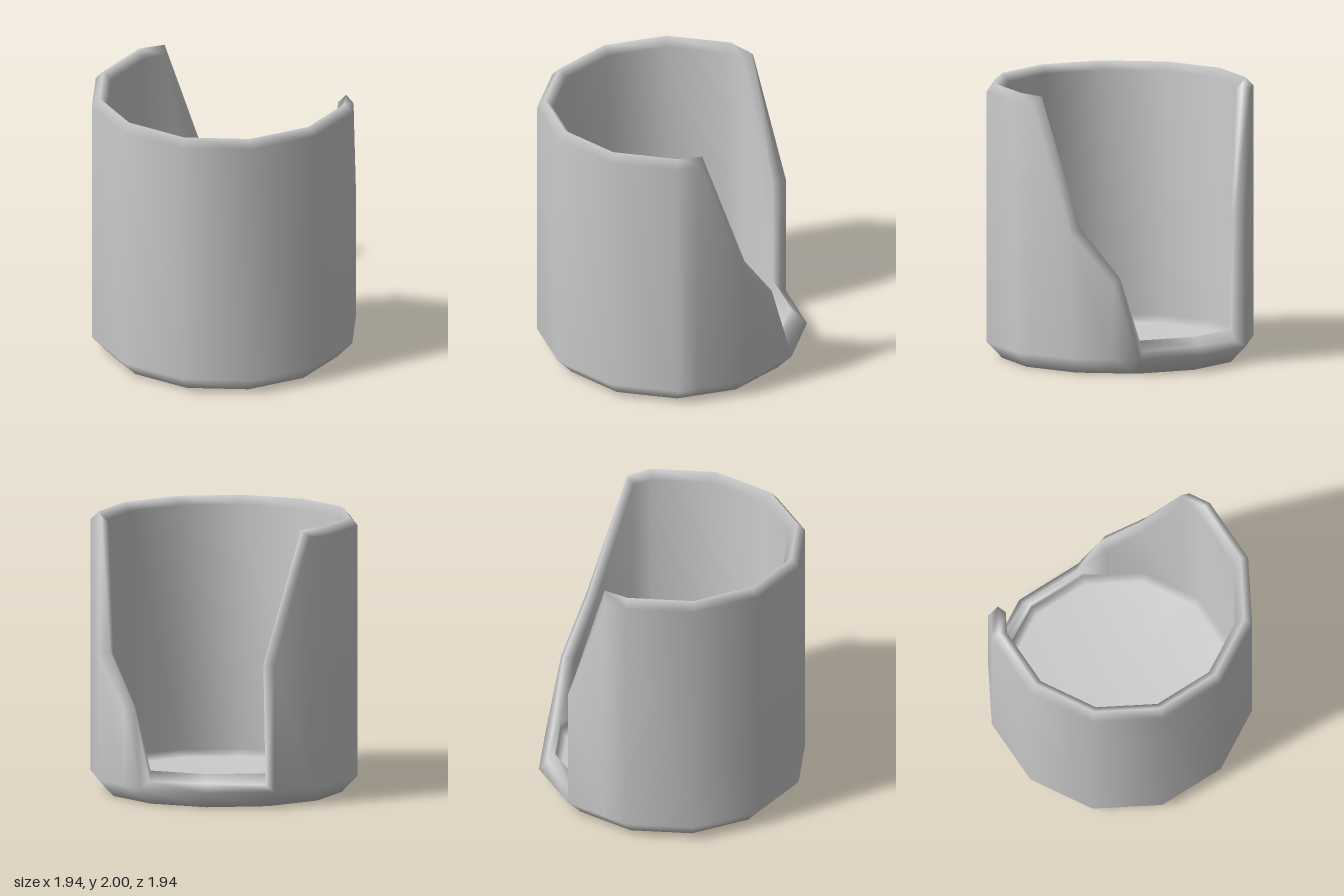
import * as THREE from 'three';
import { mergeVertices } from 'three/addons/utils/BufferGeometryUtils.js';

const SIDES = 12, R_OUT = 0.97, R_IN = 0.855, R_MID = 0.9125, BEVEL = 0.06;
const SIDE_LENGTH = 2 * R_OUT * Math.sin(Math.PI / SIDES);

// Corner i of the twelve-sided ring, counted from the back towards +x
const corner = (i) => {
  const t = (i / SIDES) * Math.PI * 2;
  return new THREE.Vector2(Math.sin(t), -Math.cos(t));
};

// Point on the ring at u sides around, at radius r and height y
function ringPoint(u, r, y) {
  const i = Math.floor(u);
  const p = corner(i).lerp(corner(i + 1), u - i).multiplyScalar(r);
  return [p.x, y, p.y];
}

// Rim line [u, height]: low sill, stepped edge, full-height wall, steep edge
const rim = [[0, 0.12], [1, 0.12], [1.39, 0.67], [2, 1.03], [2.67, 1.94]];
for (let u = 3; u <= 10; u++) rim.push([u, 1.94]);
rim.push([10.36, 1.94], [11, 1.03], [11, 0.12]);

// Ridge of the rim, pushed outwards from the rim line within the wall
function ridgePoint(i) {
  const n = rim.length;
  const at = (k) => new THREE.Vector2(
    (rim[(k + n) % n][0] + SIDES * Math.floor(k / n)) * SIDE_LENGTH, rim[(k + n) % n][1]);
  const before = at(i).sub(at(i - 1)).normalize();
  const after = at(i + 1).sub(at(i)).normalize();
  const t = before.add(after).normalize();
  const [u, h] = rim[i];
  return ringPoint(u - (t.y * BEVEL) / SIDE_LENGTH, R_MID, h + t.x * BEVEL);
}

function cupGeometry() {
  // One closed section per rim point, from under the base over the rim to the floor
  const sections = rim.map(([u, h], i) => [
    [0, 0, 0],
    ringPoint(u, R_IN, 0),
    ringPoint(u, R_OUT, 0.12),
    ringPoint(u, R_OUT, h),
    ridgePoint(i),
    ringPoint(u, R_IN, Math.max(h, 0.24)),
    ringPoint(u, R_IN, 0.165),
    ringPoint(u, 0.807, 0.115),
    [0, 0.115, 0],
  ]);
  const rows = sections[0].length, index = [];
  for (let i = 0; i < sections.length; i++) {
    const next = (i + 1) % sections.length;
    for (let j = 0; j < rows - 1; j++) {
      const a = i * rows + j, b = next * rows + j;
      index.push(a, a + 1, b + 1, a, b + 1, b);
    }
  }
  let geometry = new THREE.BufferGeometry();
  geometry.setAttribute('position', new THREE.Float32BufferAttribute(sections.flat(2), 3));
  geometry.setIndex(index);
  geometry = mergeVertices(geometry, 1e-4);

  // Drop collapsed triangles at the centres and along the sill
  const old = geometry.index.array, kept = [];
  for (let k = 0; k < old.length; k += 3) {
    const [a, b, c] = [old[k], old[k + 1], old[k + 2]];
    if (a !== b && b !== c && a !== c) kept.push(a, b, c);
  }
  geometry.setIndex(kept);
  geometry.computeVertexNormals();
  return geometry;
}

export function createModel() {
  const group = new THREE.Group();
  group.name = 'openBackedCup';
  const cup = new THREE.Mesh(cupGeometry(), new THREE.MeshStandardMaterial({ color: 0xcccccc }));
  cup.name = 'cupShell';
  group.add(cup);
  return group;
}
